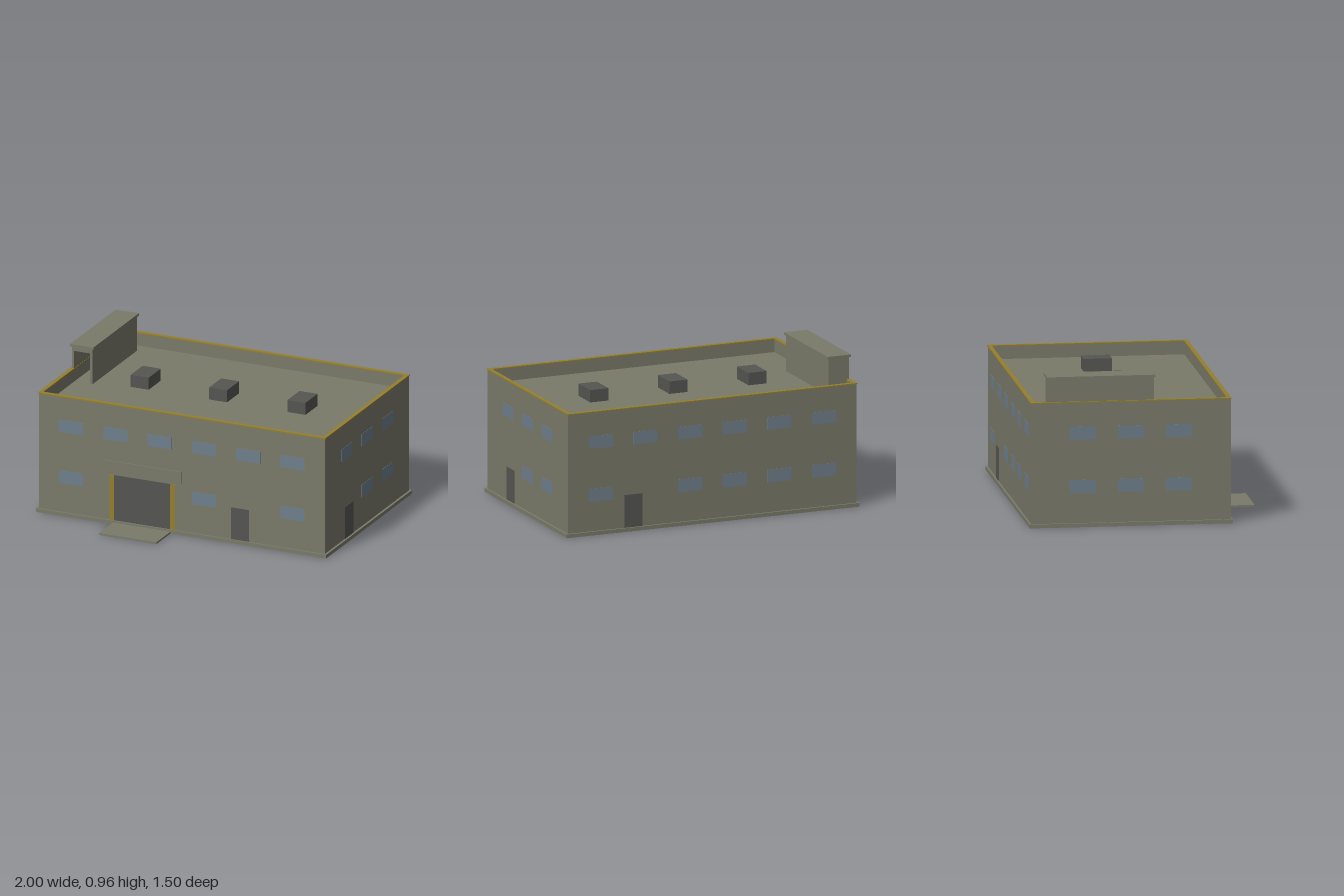
import * as THREE from 'three';

const mat = (name, color) => {
  const m = new THREE.MeshStandardMaterial({ color });
  m.name = name;
  return m;
};

export function createModel() {
  const model = new THREE.Group();
  model.name = 'building';
  const olive = mat('oliveWall', 0x7a7a6a);
  const dark = mat('darkGrey', 0x555552);
  const glass = mat('blueGlass', 0x6f7f8c);
  const yellow = mat('yellowTrim', 0x94802f);

  const add = (name, geometry, material) => {
    const mesh = new THREE.Mesh(geometry, material);
    mesh.name = name;
    model.add(mesh);
    return mesh;
  };

  // Box given by its limits on each axis
  const box = (name, material, x0, x1, y0, y1, z0, z1) => {
    const mesh = add(name, new THREE.BoxGeometry(x1 - x0, y1 - y0, z1 - z0), material);
    mesh.position.set((x0 + x1) / 2, (y0 + y1) / 2, (z0 + z1) / 2);
  };

  // Upright rectangular ring: outer limits, wall thickness, height range
  const ring = (name, material, x, z0, z1, t, y0, y1) => {
    const rect = (C, d) => new C([[-x + d, -z1 + d], [x - d, -z1 + d], [x - d, -z0 - d], [-x + d, -z0 - d]]
      .map(([a, b]) => new THREE.Vector2(a, b)));
    const shape = rect(THREE.Shape, 0);
    shape.holes.push(rect(THREE.Path, t));
    const geo = new THREE.ExtrudeGeometry(shape, { depth: y1 - y0, bevelEnabled: false });
    geo.rotateX(-Math.PI / 2).translate(0, y0, 0);
    add(name, geo, material);
  };

  const WX = 0.985, ZB = -0.734, ZF = 0.525, ROOF = 0.708;

  // Plinth, walls with parapet, roof and coping
  box('plinth', olive, -1, 1, 0, 0.024, -0.747, 0.538);
  ring('walls', olive, WX, ZB, ZF, 0.02, 0.024, 0.79);
  box('roof', olive, -0.966, 0.966, ROOF - 0.03, ROOF, -0.715, 0.506);
  ring('coping', yellow, 0.99, -0.739, 0.53, 0.027, 0.79, 0.797);

  // Thin plate on one wall, from u0 to u1 along it
  const plate = (name, material, side, u0, u1, y0, y1) => {
    const t = 0.002;
    if (side === 'front') box(name, material, u0, u1, y0, y1, ZF - t, ZF + t);
    if (side === 'back') box(name, material, u0, u1, y0, y1, ZB - t, ZB + t);
    if (side === 'right') box(name, material, WX - t, WX + t, y0, y1, u0, u1);
    if (side === 'left') box(name, material, -WX - t, -WX + t, y0, y1, u0, u1);
  };

  // Windows: two rows on each wall, with gaps below for the doors
  const longCentres = [0, 1, 2, 3, 4, 5].map((i) => -0.7625 + i * 0.305);
  const shortCentres = [-0.41, -0.105, 0.2];
  const walls = [
    ['front', longCentres, [0, 3, 5]],
    ['back', longCentres, [0, 1, 2, 3, 5]],
    ['right', shortCentres, [0, 1]],
    ['left', shortCentres, [0, 1, 2]],
  ];
  for (const [side, centres, lower] of walls) {
    centres.forEach((c, i) => {
      plate('upperWindow', glass, side, c - 0.083, c + 0.083, 0.556, 0.637);
      if (lower.includes(i)) plate('lowerWindow', glass, side, c - 0.083, c + 0.083, 0.215, 0.299);
    });
  }

  // Doors
  plate('frontDoor', dark, 'front', 0.34, 0.463, 0.024, 0.235);
  plate('backDoor', dark, 'back', 0.478, 0.6, 0.024, 0.235);
  plate('sideDoor', dark, 'right', 0.105, 0.225, 0.024, 0.235);

  // Loading gate with yellow posts, fascia board and ramp
  plate('gate', dark, 'front', -0.468, -0.078, 0.024, 0.325);
  for (const x of [-0.481, -0.062]) {
    box('gatePost', yellow, x - 0.016, x + 0.016, 0.02, 0.325, ZF - 0.005, ZF + 0.005);
  }
  box('fascia', olive, -0.54, -0.003, 0.34, 0.418, ZF - 0.004, ZF + 0.008);
  box('ramp', olive, -0.468, -0.073, 0, 0.012, 0.5, 0.748);

  // Roof vents
  for (const x of [-0.542, -0.002, 0.538]) {
    box('roofVent', dark, x - 0.062, x + 0.062, ROOF, 0.788, -0.2, -0.02);
  }

  // Stair housing, open to the front
  box('stairOuterWall', olive, -0.98, -0.965, ROOF, 0.942, -0.625, 0.04);
  box('stairInnerWall', olive, -0.855, -0.84, ROOF, 0.942, -0.625, 0.04);
  box('stairBackWall', olive, -0.965, -0.855, ROOF, 0.942, -0.625, -0.61);
  box('stairCeiling', olive, -0.965, -0.855, 0.912, 0.942, -0.61, 0.04);
  box('stairCap', olive, -0.99, -0.83, 0.942, 0.957, -0.635, 0.048);

  return model;
}
